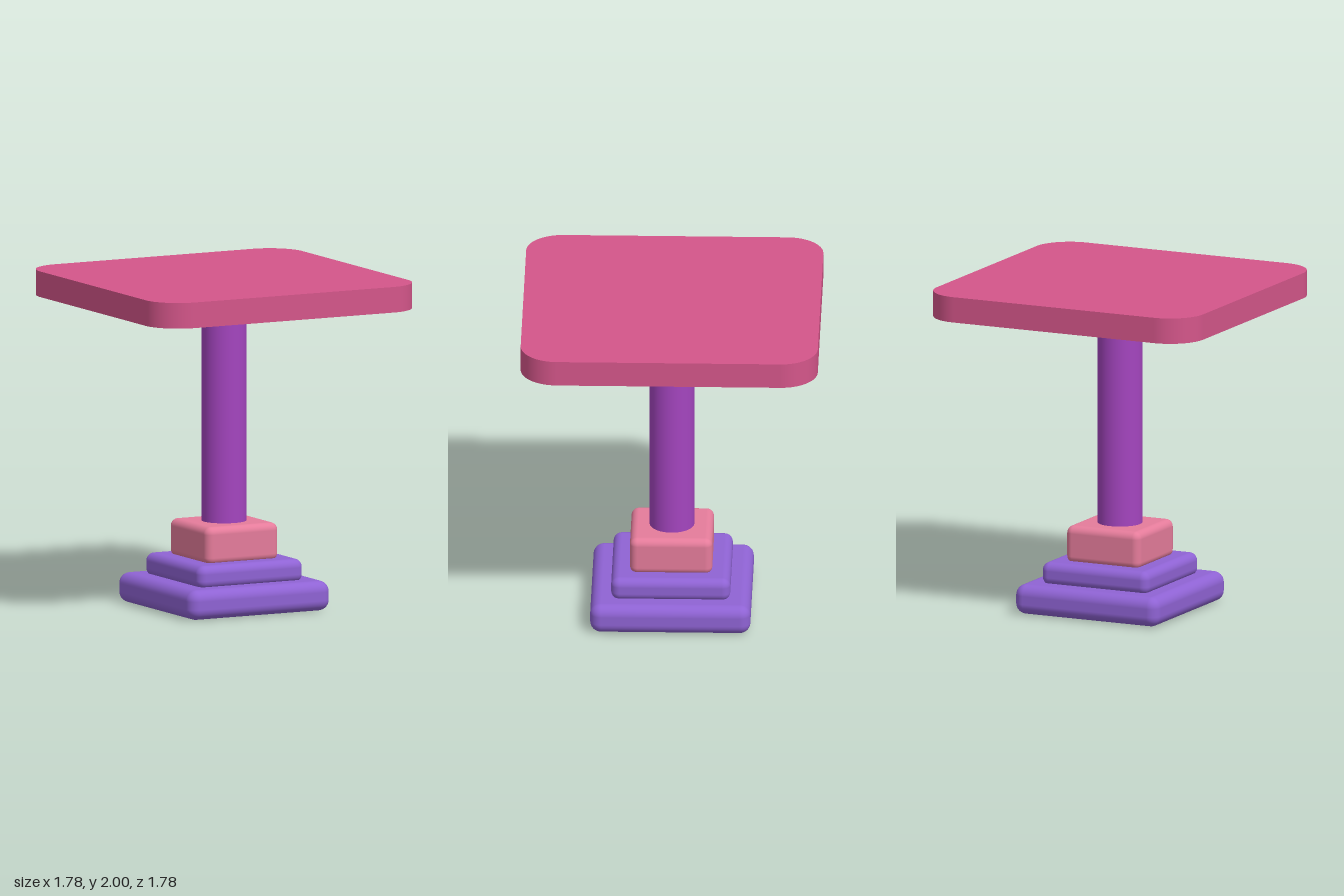
import * as THREE from 'three';
import { RoundedBoxGeometry } from 'three/addons/geometries/RoundedBoxGeometry.js';

const material = (name, color) => {
  const m = new THREE.MeshStandardMaterial({ color });
  m.name = name;
  return m;
};

export function createModel() {
  const violet = material('violet', 0x8f63d4);
  const pink = material('pink', 0xe57c9b);
  const purple = material('purple', 0xa445bf);
  const rose = material('rose', 0xd4568a);

  const group = new THREE.Group();
  group.name = 'pedestalTable';

  const add = (name, geometry, mat, y) => {
    const mesh = new THREE.Mesh(geometry, mat);
    mesh.name = name;
    mesh.position.y = y;
    group.add(mesh);
  };

  // Soft-edged square blocks: name, width, bottom, top, edge radius, material
  const blocks = [
    ['baseSlab', 0.96, 0, 0.18, 0.065, violet],
    ['baseStep', 0.714, 0.165, 0.306, 0.05, violet],
    ['columnFoot', 0.494, 0.29, 0.52, 0.045, pink],
    ['columnCap', 0.462, 1.74, 1.86, 0.03, purple],
  ];
  for (const [name, width, bottom, top, radius, mat] of blocks) {
    add(name, new RoundedBoxGeometry(width, top - bottom, width, 6, radius), mat, (bottom + top) / 2);
  }

  // Round column, ends hidden in the foot and cap
  add('column', new THREE.CylinderGeometry(0.134, 0.134, 1.3, 48), purple, 1.13);

  // Square tabletop with rounded corners and crisp edges
  const h = 0.89, r = 0.22;
  const outline = new THREE.Shape();
  for (let i = 0; i < 4; i++) {
    const a = i * Math.PI / 2;
    const sx = i === 0 || i === 3 ? 1 : -1;
    const sy = i < 2 ? 1 : -1;
    outline.absarc(sx * (h - r), sy * (h - r), r, a, a + Math.PI / 2, false);
  }
  outline.closePath();
  const topGeometry = new THREE.ExtrudeGeometry(outline, {
    depth: 0.155, bevelEnabled: false, curveSegments: 12,
  });
  topGeometry.rotateX(-Math.PI / 2);
  // Smooth the normals around the rounded corners
  const pos = topGeometry.attributes.position, normal = topGeometry.attributes.normal;
  for (let i = 0; i < pos.count; i++) {
    if (Math.abs(normal.getY(i)) > 0.5) continue;
    const dx = Math.sign(pos.getX(i)) * Math.max(0, Math.abs(pos.getX(i)) - (h - r));
    const dz = Math.sign(pos.getZ(i)) * Math.max(0, Math.abs(pos.getZ(i)) - (h - r));
    const n = new THREE.Vector3(dx, 0, dz).normalize();
    normal.setXYZ(i, n.x, 0, n.z);
  }
  add('tabletop', topGeometry, rose, 1.845);

  return group;
}
